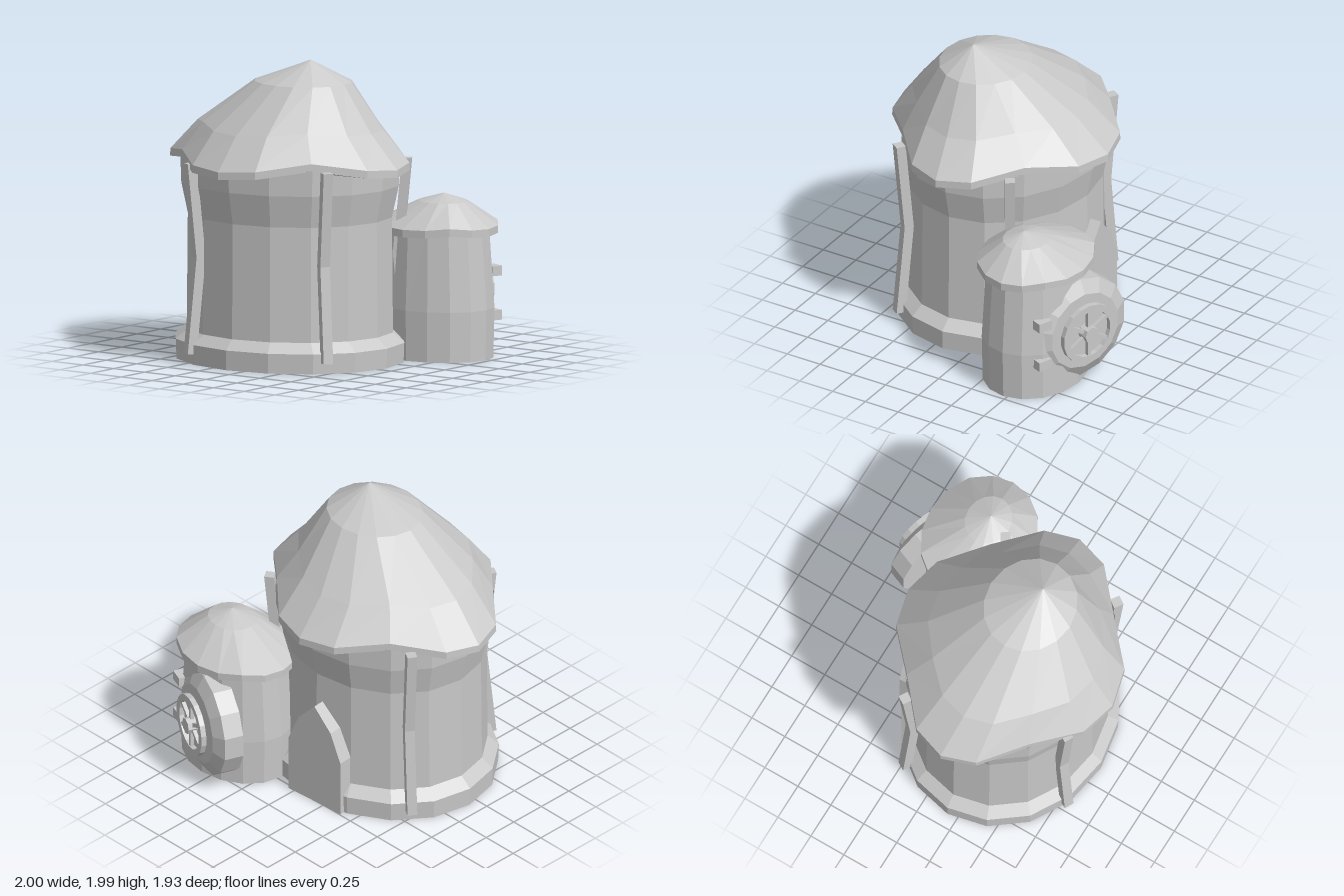
import * as THREE from 'three';

const stone = new THREE.MeshStandardMaterial({ color: 0xc8c8c8, flatShading: true, side: THREE.DoubleSide });
stone.name = 'plain grey';

// One elliptical ring; warp pulls the diagonals in, lift raises them
function ring(cx, y, cz, rx, rz, { n = 16, warp = 0, lift = 0, turn = 0 } = {}) {
  const pts = [];
  for (let k = 0; k < n; k++) {
    const t = (k / n) * Math.PI * 2 + turn;
    const d = Math.sin(2 * t) ** 4;
    const a = t - 0.085 * warp * Math.sin(4 * t);
    const f = 1 - 0.15 * warp * d;
    pts.push([cx + rx * f * Math.sin(a), y + lift * d, cz + rz * f * Math.cos(a)]);
  }
  return pts;
}

// Skin between successive rings, listed from bottom to top
function loft(rings) {
  const pos = [];
  const n = rings[0].length;
  for (let i = 0; i < rings.length - 1; i++) {
    for (let k = 0; k < n; k++) {
      const j = (k + 1) % n;
      const a = rings[i][k], b = rings[i][j], c = rings[i + 1][j], d = rings[i + 1][k];
      pos.push(...a, ...b, ...c, ...a, ...c, ...d);
    }
  }
  const g = new THREE.BufferGeometry();
  g.setAttribute('position', new THREE.Float32BufferAttribute(pos, 3));
  g.computeVertexNormals();
  return g;
}

function add(parent, name, geometry, x = 0, y = 0, z = 0) {
  const m = new THREE.Mesh(geometry, stone);
  m.name = name;
  m.position.set(x, y, z);
  parent.add(m);
  return m;
}

// Turned part whose axis points along z
function turned(profile, sides) {
  return new THREE.LatheGeometry(profile.map(p => new THREE.Vector2(...p)), sides).rotateX(Math.PI / 2);
}

export function createModel() {
  const model = new THREE.Group();
  model.name = 'roundHouse';
  const CX = -0.125, CZ = 0.18;

  // Main tower with plinth and flared top
  const wall = [[0, 0.785], [0.13, 0.79], [0.195, 0.712], [0.95, 0.705], [1.16, 0.752], [1.33, 0.758]];
  add(model, 'towerWall', loft(wall.map(([y, r]) => ring(CX, y, CZ, r, r * 0.875))));

  // Drooping, lopsided roof
  add(model, 'towerRoof', loft([
    ring(CX, 1.31, CZ, 0.70, 0.61),
    ring(CX, 1.26, CZ, 0.875, 0.777, { warp: 1, lift: 0.065 }),
    ring(CX, 1.31, CZ, 0.873, 0.775, { warp: 1, lift: 0.065 }),
    ring(-0.1, 1.53, 0.21, 0.66, 0.585, { warp: 0.6, lift: 0.03 }),
    ring(0.03, 1.84, 0.24, 0.33, 0.298),
    ring(0.12, 1.99, 0.28, 0, 0),
  ]));

  // Bent posts: x and z at the ends, then at the middle
  const posts = [
    [0.5, 0.61, 0.45, 0.58], [-0.46, 0.81, -0.43, 0.755],
    [0.51, -0.24, 0.46, -0.21], [-0.78, -0.22, -0.73, -0.195],
  ];
  for (const [x, z, mx, mz] of posts) {
    const turn = Math.atan2(x - CX, z - CZ) + Math.PI / 4;
    const at = (px, y, pz, r) => ring(px, y, pz, r, r, { n: 4, turn });
    add(model, 'post', loft([
      at(x, 0.07, z, 0), at(x, 0.07, z, 0.046), at(mx, 0.7, mz, 0.046),
      at(x, 1.32, z, 0.046), at(x, 1.32, z, 0),
    ]));
  }

  // Side turret
  const SX = 0.57, SZ = -0.475;
  add(model, 'turretWall', loft([
    ring(SX, 0, SZ, 0.4, 0.325), ring(SX, 0.33, SZ, 0.41, 0.33), ring(SX, 0.86, SZ, 0.37, 0.305),
  ]));
  add(model, 'turretRoof', loft([
    ring(SX, 0.85, SZ, 0.34, 0.28),
    ring(SX, 0.815, SZ, 0.43, 0.366, { lift: 0.02 }),
    ring(SX, 0.865, SZ, 0.43, 0.366, { lift: 0.02 }),
    ring(0.645, 1.025, -0.45, 0.17, 0.15),
    ring(0.66, 1.078, -0.44, 0, 0),
  ]));

  // Pointed back doorway
  const arch = new THREE.Shape();
  arch.moveTo(-0.225, 0);
  for (const [x, y] of [[0.225, 0], [0.225, 0.4], [0.14, 0.6], [0, 0.75], [-0.14, 0.6], [-0.225, 0.4]]) arch.lineTo(x, y);
  const door = add(model, 'backDoor',
    new THREE.ExtrudeGeometry(arch, { depth: 0.1, bevelEnabled: false }), -0.17, 0, -0.41);
  door.rotation.y = Math.PI + 0.07;

  // Round hatch on the turret, facing outwards along its own z
  const hatch = new THREE.Group();
  hatch.name = 'hatch';
  hatch.position.set(0.56, 0.41, -0.83);
  hatch.rotation.y = Math.atan2(0.37, -0.93);
  model.add(hatch);
  add(hatch, 'hatchDisc', turned([[0, -0.16], [0.36, -0.16], [0.36, -0.03], [0.27, 0.02], [0, 0.02]], 14));
  add(hatch, 'wheelRim', turned(
    [[0.165, 0.04], [0.21, 0.04], [0.21, 0.075], [0.165, 0.075], [0.165, 0.04]], 18));
  add(hatch, 'wheelHub', turned([[0, 0], [0.055, 0], [0.055, 0.1], [0, 0.1]], 8));
  for (let i = 0; i < 6; i++) {
    const a = (i / 6) * Math.PI * 2 + Math.PI / 6;
    const spoke = add(hatch, 'wheelSpoke', new THREE.BoxGeometry(0.15, 0.026, 0.025),
      Math.cos(a) * 0.11, Math.sin(a) * 0.11, 0.057);
    spoke.rotation.z = a;
  }
  for (const y of [-0.145, 0.145]) {
    add(hatch, 'hinge', new THREE.BoxGeometry(0.1, 0.065, 0.07), -0.325, y, -0.005);
  }
  return model;
}
